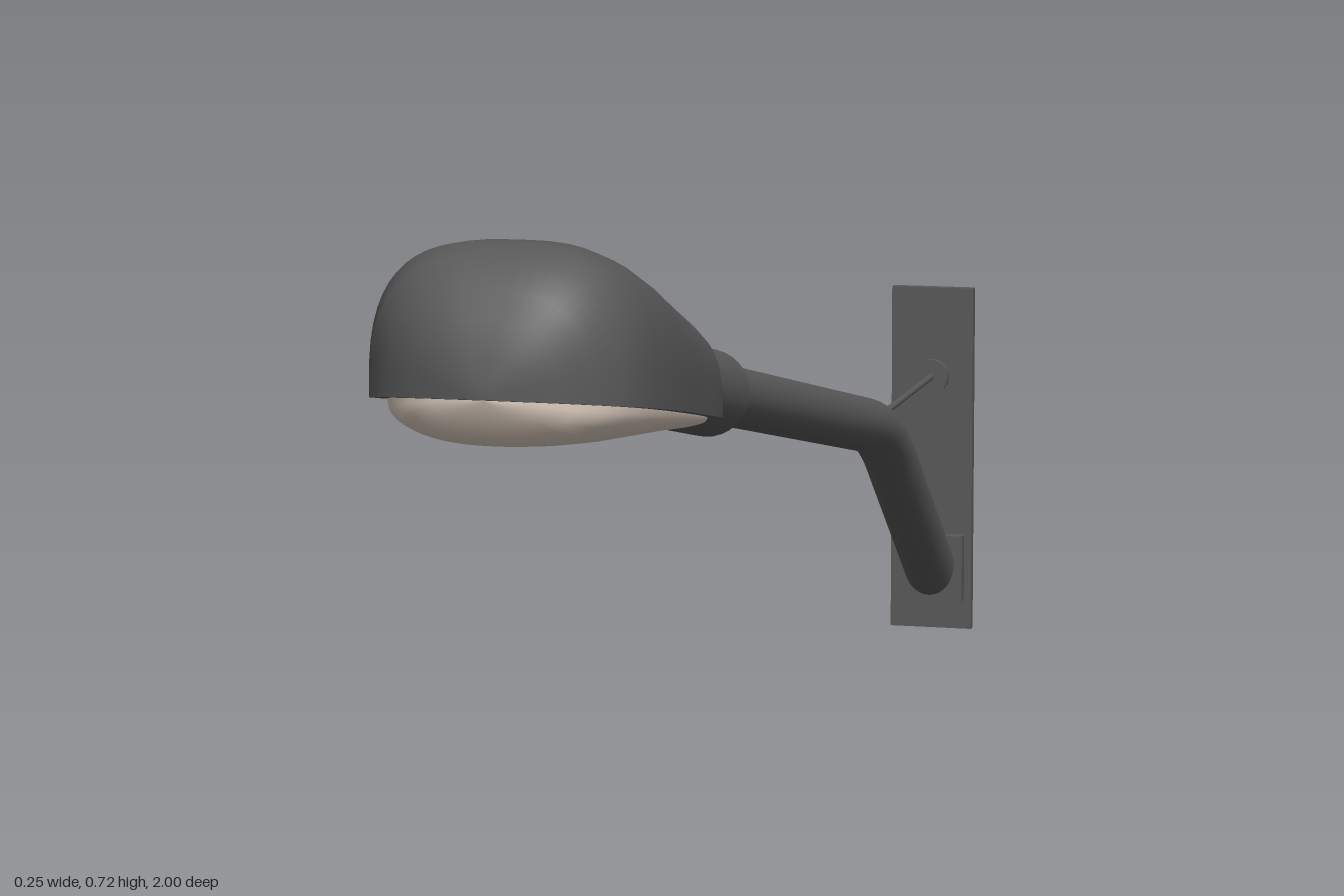
import * as THREE from 'three';

const V = (y, z) => new THREE.Vector3(0, y, z);

// Superellipse half-shell lofted through [z, halfWidth, height] sections.
// A positive height arches up, a negative one hangs down, zero gives a flat lid.
function loft(sections, baseY, power, steps = 28) {
  const pos = [], index = [], n = steps + 1;
  for (const [z, w, h] of sections) {
    for (let j = 0; j <= steps; j++) {
      const t = Math.PI * j / steps + (h > 0 ? 0 : Math.PI);
      const c = Math.cos(t), s = Math.sin(t);
      const x = w * Math.sign(c) * Math.abs(c) ** (2 / power);
      pos.push(x, baseY(z) + Math.abs(h) * Math.sign(s) * Math.abs(s) ** (2 / power), z);
    }
  }
  for (let i = 0; i < sections.length - 1; i++) {
    for (let j = 0; j < steps; j++) {
      const a = i * n + j, b = a + 1, c = a + n, d = c + 1;
      index.push(a, b, c, b, d, c);
    }
  }
  const g = new THREE.BufferGeometry();
  g.setAttribute('position', new THREE.Float32BufferAttribute(pos, 3));
  g.setIndex(index);
  g.computeVertexNormals();
  return g;
}

// Rectangle outline centred on x = 0
function rect(shape, w, y0, y1) {
  shape.moveTo(-w, y0).lineTo(w, y0).lineTo(w, y1).lineTo(-w, y1).closePath();
  return shape;
}

export function createModel() {
  const group = new THREE.Group();
  const metal = new THREE.MeshStandardMaterial({ color: 0x595959 });
  metal.name = 'dark grey metal';
  const glass = new THREE.MeshStandardMaterial({ color: 0xe0d0c2, side: THREE.DoubleSide });
  glass.name = 'pale warm glass';

  const add = (name, geometry, material = metal) => {
    const mesh = new THREE.Mesh(geometry, material);
    mesh.name = name;
    group.add(mesh);
    return mesh;
  };
  // Round bar between two points
  const bar = (name, a, b, r, sides = 32) => {
    const mesh = add(name, new THREE.CylinderGeometry(r, r, a.distanceTo(b), sides));
    mesh.position.copy(a).lerp(b, 0.5);
    mesh.quaternion.setFromUnitVectors(new THREE.Vector3(0, 1, 0), b.clone().sub(a).normalize());
    return mesh;
  };

  // Wall plate, open behind the foot block and the stay nut
  const plate = rect(new THREE.Shape(), 0.05, 0, 0.42);
  plate.holes.push(
    rect(new THREE.Path(), 0.039, 0.037, 0.115),
    new THREE.Path().absarc(0, 0.312, 0.018, 0, Math.PI * 2, true));
  add('wallPlate', new THREE.ExtrudeGeometry(plate, { depth: 0.012, bevelEnabled: false }))
    .position.z = -0.984;
  add('footBlock', new THREE.BoxGeometry(0.082, 0.082, 0.017)).position.set(0, 0.076, -0.9665);

  // Bent arm: steep foot, smooth bend, long shallow reach
  const foot = V(0.063, -0.983), corner = V(0.298, -0.663), tip = V(0.498, 0.3);
  const bendStart = corner.clone().add(foot.clone().sub(corner).setLength(0.085));
  const bendEnd = corner.clone().add(tip.clone().sub(corner).setLength(0.085));
  bar('armFoot', foot, bendStart, 0.031);
  add('armBend', new THREE.TubeGeometry(
    new THREE.QuadraticBezierCurve3(bendStart, corner, bendEnd), 16, 0.031, 32));
  bar('armReach', bendEnd, tip, 0.031);

  // Stay rod with its round nut on the plate
  bar('stayRod', V(0.312, -0.97), V(0.312, -0.66), 0.004, 12);
  bar('stayNut', V(0.312, -0.975), V(0.312, -0.963), 0.021, 16);

  // Sleeve joining arm and lamp head
  bar('sleeve', V(0.472, 0.181), V(0.518, 0.4), 0.044);

  // Lamp housing: [z, halfWidth, topY]
  const rim = z => 0.478 + 0.182 * (z - 0.36);
  const outline = [
    [0.352, 0.05, 0.556], [0.362, 0.06, 0.567], [0.45, 0.074, 0.595], [0.6, 0.097, 0.638],
    [0.72, 0.115, 0.674], [0.81, 0.125, 0.700], [0.87, 0.126, 0.715], [0.915, 0.123, 0.719],
    [0.945, 0.112, 0.708], [0.97, 0.089, 0.685], [0.985, 0.065, 0.660], [0.995, 0.038, 0.632],
    [1, 0.012, 0.605],
  ];
  const shell = outline.map(([z, w, top]) => [z, w, top - rim(z)]);
  const [z0, w0, h0] = shell[0];
  add('lampHousing', loft([[z0, 0, 0.0001], [z0, w0, h0], ...shell, [1, 0, 0.0001]], rim, 2.9));
  add('housingUnderside', loft(outline.map(([z, w]) => [z, w, 0]), rim, 2));

  // Glass bowl hanging below the rim: [z, halfWidth, -depth]
  const bowl = [
    [0.362, 0, -0.0001], [0.364, 0.045, -0.011], [0.45, 0.062, -0.015], [0.6, 0.085, -0.021],
    [0.75, 0.104, -0.029], [0.85, 0.112, -0.035], [0.91, 0.108, -0.038], [0.945, 0.094, -0.039],
    [0.963, 0.074, -0.032], [0.975, 0.050, -0.017], [0.981, 0, -0.0001],
  ];
  add('glassBowl', loft(bowl, rim, 2.4), glass);

  return group;
}
